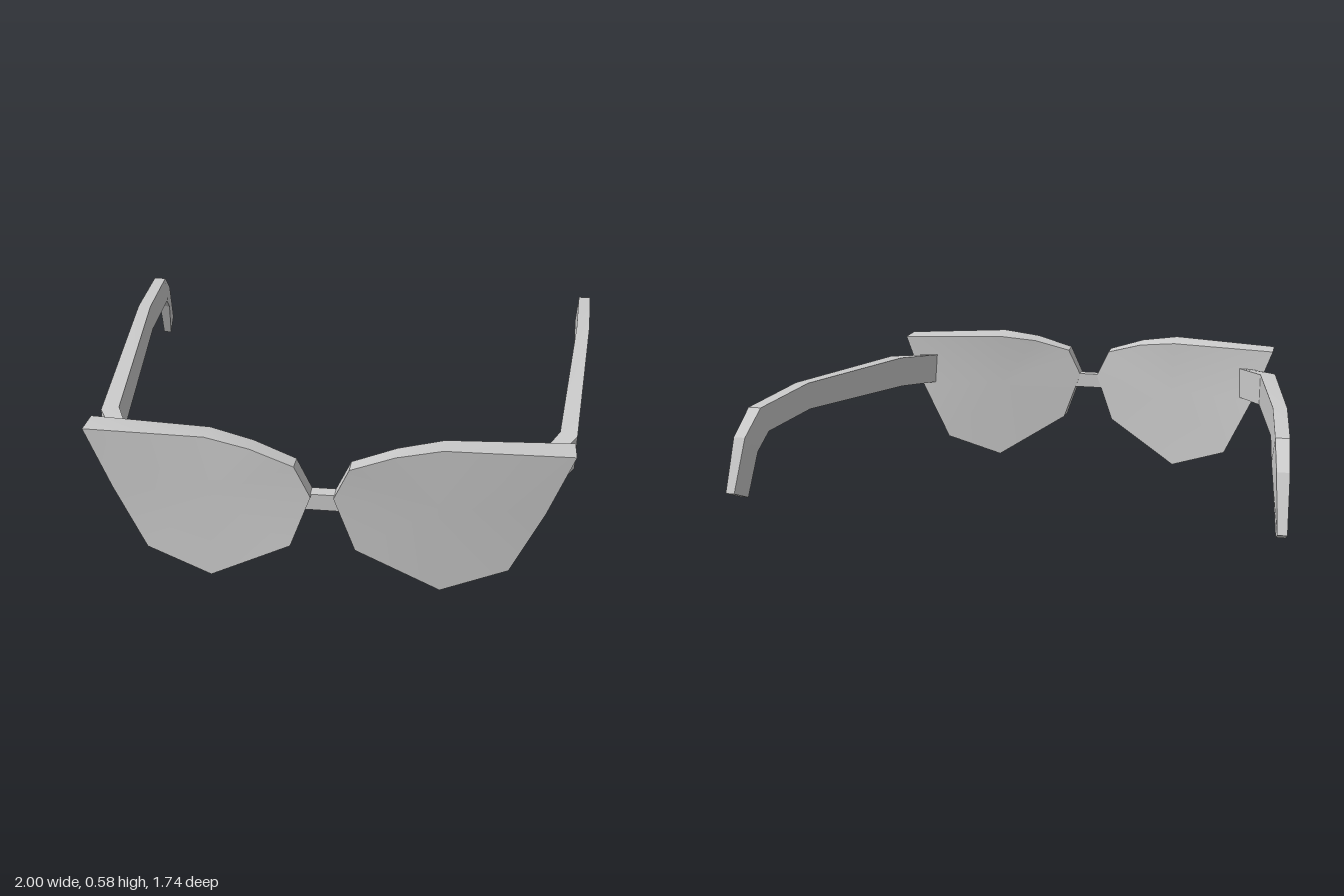
import * as THREE from 'three';
import { toCreasedNormals } from 'three/addons/utils/BufferGeometryUtils.js';

const material = new THREE.MeshStandardMaterial({ color: 0xcccccc });

// Skins a row of loops (rear to front, counter-clockwise from the front) and
// closes both ends with fans. side = -1 mirrors the result in x.
function loft(name, loops, side, crease) {
  const positions = [];
  const tri = (a, b, c) => {
    for (const p of side > 0 ? [a, b, c] : [a, c, b]) positions.push(p[0] * side, p[1], p[2]);
  };
  const centre = (loop) => [0, 1, 2].map((k) => loop.reduce((sum, p) => sum + p[k], 0) / loop.length);
  const n = loops[0].length;
  const first = loops[0], last = loops[loops.length - 1];
  const c0 = centre(first), c1 = centre(last);
  for (let j = 0; j < n; j++) {
    const k = (j + 1) % n;
    for (let i = 0; i < loops.length - 1; i++) {
      const a = loops[i], b = loops[i + 1];
      tri(a[j], a[k], b[k]);
      tri(a[j], b[k], b[j]);
    }
    tri(c0, first[k], first[j]);
    tri(c1, last[j], last[k]);
  }
  const geometry = new THREE.BufferGeometry();
  geometry.setAttribute('position', new THREE.Float32BufferAttribute(positions, 3));
  const mesh = new THREE.Mesh(toCreasedNormals(geometry, crease), material);
  mesh.name = name;
  return mesh;
}

// Lens rim: x, front y, front z, back y, back z
const rim = [
  [0.04, 0.39, 0.865, 0.39, 0.805],
  [0.115, 0.185, 0.868, 0.185, 0.795],
  [0.415, 0.01, 0.83, 0.0, 0.73],
  [0.655, 0.09, 0.795, 0.085, 0.685],
  [0.77, 0.33, 0.78, 0.33, 0.675],
  [0.855, 0.565, 0.787, 0.56, 0.682],
  [0.41, 0.585, 0.83, 0.57, 0.73],
  [0.25, 0.56, 0.85, 0.55, 0.768],
  [0.095, 0.51, 0.867, 0.505, 0.80],
];

// Temple arm sections, rear tip first:
// inner x, outer x, top z, top y, bottom z, bottom y, inward lean of the bottom, z skew of the inner side
const arm = [
  [0.965, 0.998, -0.87, 0.25, -0.78, 0.21, 0.008, 0],
  [0.95, 0.994, -0.79, 0.44, -0.72, 0.37, 0.012, 0],
  [0.936, 0.985, -0.68, 0.527, -0.645, 0.43, 0.01, 0],
  [0.908, 0.96, -0.32, 0.545, -0.32, 0.44, 0.003, 0],
  [0.815, 0.875, 0.52, 0.495, 0.52, 0.363, 0, -0.03],
  [0.71, 0.768, 0.69, 0.475, 0.69, 0.345, 0, 0.01],
];

export function createModel() {
  const model = new THREE.Group();
  model.name = 'glasses';

  const back = rim.map(([x, , , y, z]) => [x, y, z]);
  const front = rim.map(([x, y, z]) => [x, y, z]);
  const armLoops = arm.map(([xi, xo, zt, yt, zb, yb, lean, skew]) => [
    [xi - lean, yb, zb + skew],
    [xo - lean, yb, zb],
    [xo, yt, zt],
    [xi, yt, zt + skew],
  ]);

  // Lenses and temple arms, mirrored
  for (const [label, side] of [['left', 1], ['right', -1]]) {
    model.add(loft(label + 'Lens', [back, front], side, 0.3));
    model.add(loft(label + 'Temple', armLoops, side, 0.15));
  }

  // Nose bridge
  const bridge = new THREE.Mesh(new THREE.BoxGeometry(0.12, 0.063, 0.045), material);
  bridge.position.set(0, 0.363, 0.828);
  bridge.name = 'bridge';
  model.add(bridge);

  return model;
}
